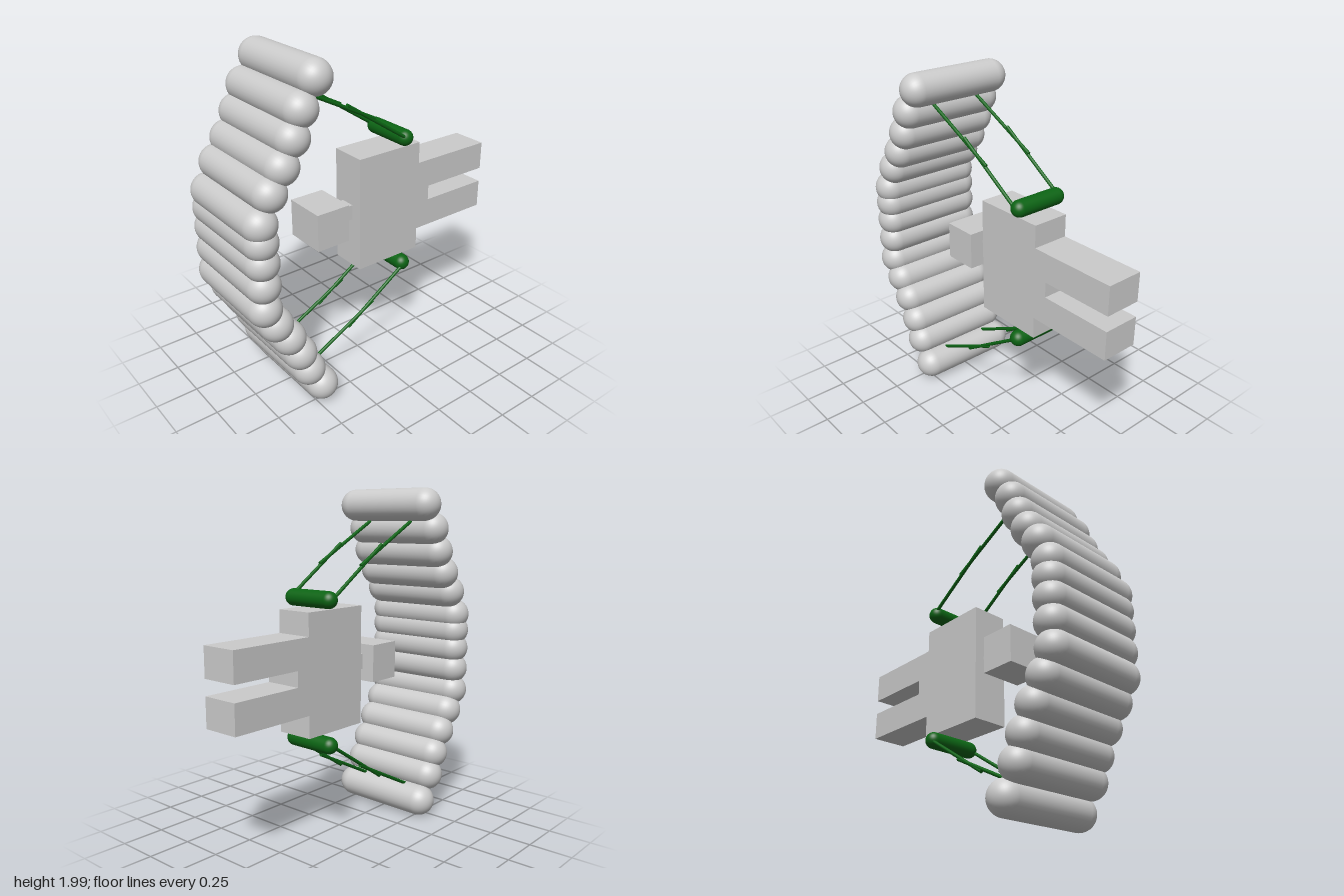
import * as THREE from 'three';

const grey = new THREE.MeshStandardMaterial({ color: 0xcccccc });
const green = new THREE.MeshStandardMaterial({ color: 0x0c6414 });

export function createModel() {
  const model = new THREE.Group();

  const add = (parent, name, geometry, material) => {
    const mesh = new THREE.Mesh(geometry, material);
    mesh.name = name;
    parent.add(mesh);
    return mesh;
  };

  // Box given by its extents on each axis
  const box = (parent, name, [x0, x1], [y0, y1], [z0, z1]) =>
    add(parent, name, new THREE.BoxGeometry(x1 - x0, y1 - y0, z1 - z0), grey)
      .position.set((x0 + x1) / 2, (y0 + y1) / 2, (z0 + z1) / 2);

  // Round-ended bar lying along x
  const bar = (parent, name, radius, length, material, x, y, z, tilt = 0) => {
    const mesh = add(parent, name, new THREE.CapsuleGeometry(radius, length - 2 * radius, 12, 32), material);
    mesh.position.set(x, y, z);
    mesh.rotation.z = Math.PI / 2 + tilt;
  };

  // Thin straight cord between two points
  const cord = (parent, name, a, b) => {
    const dir = b.clone().sub(a);
    const mesh = add(parent, name, new THREE.CylinderGeometry(0.01, 0.01, dir.length(), 12), green);
    mesh.position.copy(a).add(b).multiplyScalar(0.5);
    mesh.quaternion.setFromUnitVectors(new THREE.Vector3(0, 1, 0), dir.normalize());
  };

  // Curved wing of side-by-side inflated tubes: [y, z, tilt]
  const canopy = new THREE.Group();
  canopy.name = 'canopy';
  model.add(canopy);
  [
    [1.905, 0.455, 0], [1.765, 0.54, 0], [1.63, 0.592, 0], [1.5, 0.658, 0], [1.38, 0.733, 0],
    [1.235, 0.795, 0], [1.135, 0.795, 0], [1.02, 0.795, 0], [0.89, 0.795, 0], [0.75, 0.795, 0],
    [0.63, 0.733, 0.005], [0.51, 0.658, 0.01], [0.38, 0.592, 0.01], [0.25, 0.54, 0.014], [0.105, 0.455, 0.016],
  ].forEach(([y, z, tilt]) => bar(canopy, 'canopyTube', 0.095, 0.7, grey, -0.006, y, z, tilt));

  // Blocky pilot lying face forward
  const pilot = new THREE.Group();
  pilot.name = 'pilot';
  model.add(pilot);
  const width = [-0.106, 0.113];
  box(pilot, 'head', [-0.125, 0.13], [0.88, 1.1], [0.16, 0.37]);
  box(pilot, 'neck', [-0.045, 0.043], [0.95, 1.04], [0.07, 0.16]);
  box(pilot, 'torso', width, [0.78, 1.21], [-0.45, 0.07]);
  box(pilot, 'upperArm', width, [1.21, 1.34], [-0.365, 0.07]);
  box(pilot, 'lowerArm', width, [0.65, 0.78], [-0.365, 0.07]);
  box(pilot, 'upperLeg', width, [1.04, 1.21], [-0.89, -0.45]);
  box(pilot, 'lowerLeg', width, [0.78, 0.95], [-0.89, -0.45]);

  // Control handles, each tied to the canopy by two cords in two overlapping lengths
  for (const side of [1, -1]) {
    const harness = new THREE.Group();
    harness.name = side > 0 ? 'upperHarness' : 'lowerHarness';
    model.add(harness);
    const y = (offset) => 0.995 + side * offset;
    bar(harness, 'handle', 0.048, 0.355, green, -0.012, y(0.403), -0.245);
    for (const x of [-0.163, 0.143]) {
      const point = (offset, z) => new THREE.Vector3(x, y(offset), z);
      cord(harness, 'canopyCord', point(0.82, 0.47), point(0.575, -0.005));
      cord(harness, 'handleCord', point(0.685, 0.18), point(0.403, -0.245));
    }
  }
  return model;
}
